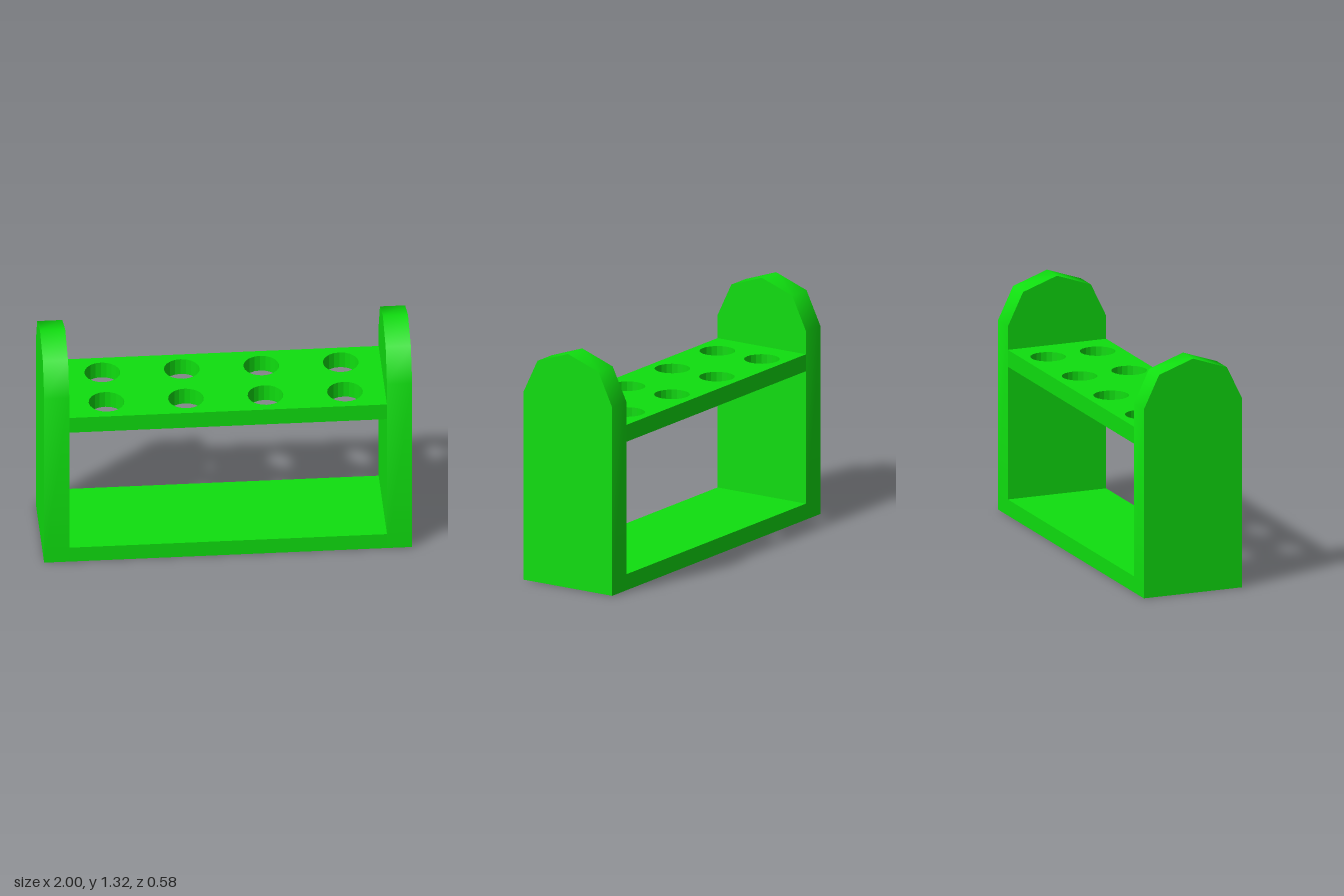
import * as THREE from 'three';
import { toCreasedNormals } from 'three/addons/utils/BufferGeometryUtils.js';

const HALF_DEPTH = 0.29;
const INNER_X = 0.863; // inner face of the end panels

export function createModel() {
  const rack = new THREE.Group();
  rack.name = 'testTubeRack';
  const material = new THREE.MeshStandardMaterial({ color: 0x0fdf0f });

  const add = (name, geometry, x, y) => {
    const mesh = new THREE.Mesh(geometry, material);
    mesh.name = name;
    mesh.position.set(x, y, 0);
    rack.add(mesh);
  };

  // End panels: upright boards with a faceted crown, softly shaded over the top
  const thickness = 1 - INNER_X;
  const outline = [
    [-HALF_DEPTH, 0], [HALF_DEPTH, 0], [HALF_DEPTH, 1.06], [0.2, 1.245],
    [0, 1.315], [-0.2, 1.245], [-HALF_DEPTH, 1.06],
  ].map(([z, y]) => new THREE.Vector2(z, y));
  const panel = toCreasedNormals(
    new THREE.ExtrudeGeometry(new THREE.Shape(outline), { depth: thickness, bevelEnabled: false })
      .translate(0, 0, -thickness / 2)
      .rotateY(Math.PI / 2),
    THREE.MathUtils.degToRad(50)
  );
  add('leftEndPanel', panel, 1 - thickness / 2, 0);
  add('rightEndPanel', panel, -1 + thickness / 2, 0);

  // Base board
  add('base', new THREE.BoxGeometry(2 * INNER_X, 0.09, 2 * HALF_DEPTH), 0, 0.045);

  // Shelf with two rows of four round holes
  const shelf = new THREE.Shape([
    new THREE.Vector2(-INNER_X, -HALF_DEPTH), new THREE.Vector2(INNER_X, -HALF_DEPTH),
    new THREE.Vector2(INNER_X, HALF_DEPTH), new THREE.Vector2(-INNER_X, HALF_DEPTH),
  ]);
  for (let column = 0; column < 4; column++) {
    for (const row of [-1, 1]) {
      const hole = new THREE.Path();
      hole.absarc(-0.65 + column * 0.432, row * 0.146, 0.097, 0, Math.PI * 2, true);
      shelf.holes.push(hole);
    }
  }
  const shelfGeometry = new THREE.ExtrudeGeometry(shelf, {
    depth: 0.095, bevelEnabled: false, curveSegments: 10,
  }).rotateX(-Math.PI / 2);
  add('shelf', shelfGeometry, 0, 0.835);

  return rack;
}
